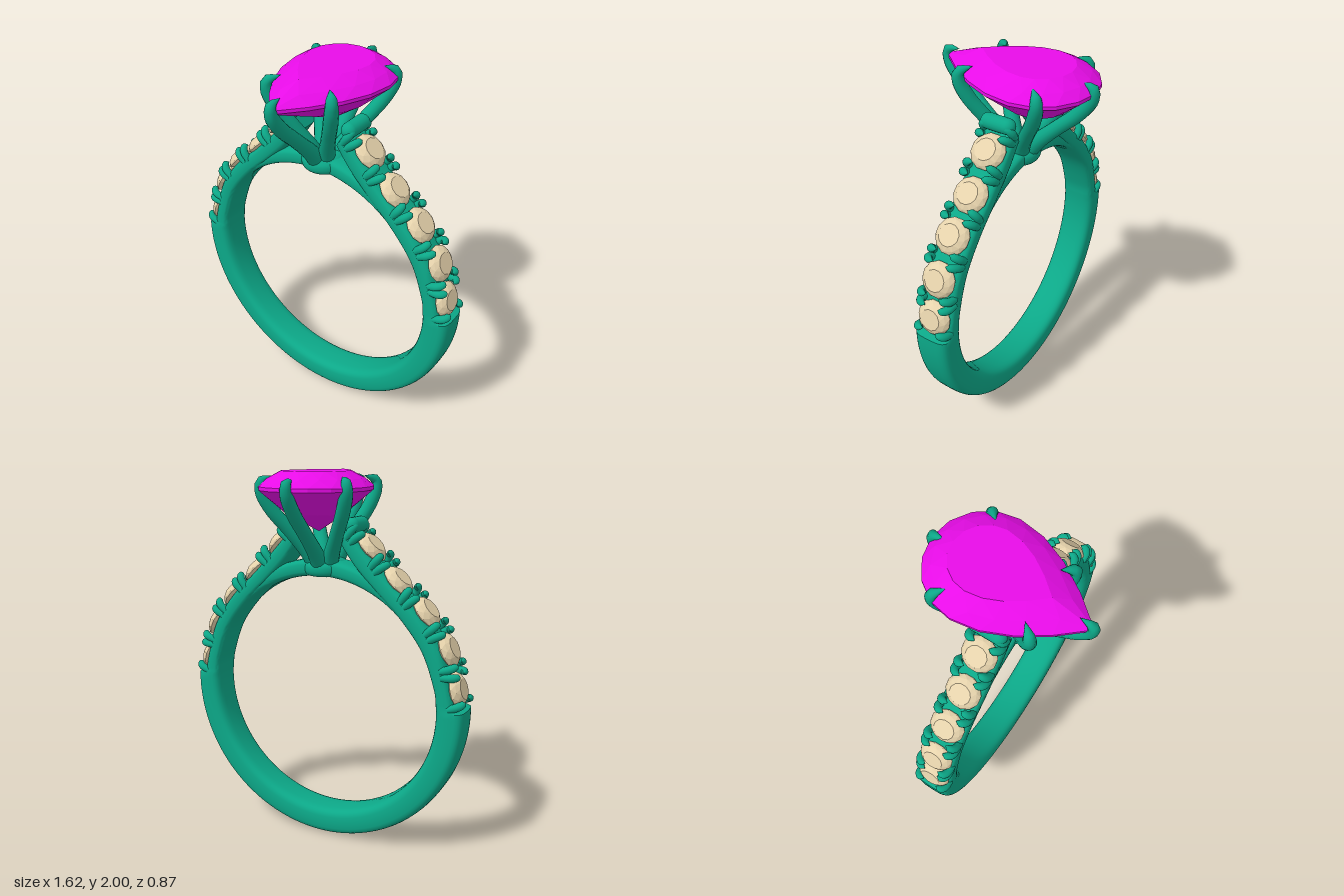
import * as THREE from 'three';
import { toCreasedNormals } from 'three/addons/utils/BufferGeometryUtils.js';
import { ConvexGeometry } from 'three/addons/geometries/ConvexGeometry.js';

const metal = new THREE.MeshStandardMaterial({ color: 0x0ca888 });
const magenta = new THREE.MeshStandardMaterial({ color: 0xe80ce8, flatShading: true });
const cream = new THREE.MeshStandardMaterial({ color: 0xe6d3ac, flatShading: true });

const CY = 0.81, R_IN = 0.655, R_OUT = 0.805, HALF = 0.098;
const V2 = (x, y) => new THREE.Vector2(x, y);
const V3 = (x, y, z) => new THREE.Vector3(x, y, z);

function add(parent, name, geometry, material) {
  const mesh = new THREE.Mesh(geometry, material);
  mesh.name = name;
  parent.add(mesh);
  return mesh;
}

// Rounded-rectangle section swept through stations { inner, outer, half }
function sweep(stations) {
  const N = 28, pos = [], idx = [];
  const soft = (v) => Math.sign(v) * Math.pow(Math.abs(v), 0.55);
  for (const { inner, outer, half } of stations) {
    for (let j = 0; j < N; j++) {
      const a = (j / N) * Math.PI * 2;
      const p = inner.clone().lerp(outer, 0.5 + 0.5 * soft(Math.cos(a)));
      pos.push(p.x, p.y, half * soft(Math.sin(a)));
    }
  }
  const last = stations.length - 1;
  for (let i = 0; i < last; i++) {
    for (let j = 0; j < N; j++) {
      const a = i * N + j, b = i * N + ((j + 1) % N);
      idx.push(a, a + N, b, b, a + N, b + N);
    }
  }
  for (const s of [0, last]) {
    const c = pos.length / 3, m = stations[s].inner.clone().lerp(stations[s].outer, 0.5);
    pos.push(m.x, m.y, 0);
    for (let j = 0; j < N; j++) {
      const a = s * N + j, b = s * N + ((j + 1) % N);
      if (s === 0) idx.push(c, a, b); else idx.push(c, b, a);
    }
  }
  const g = new THREE.BufferGeometry();
  g.setAttribute('position', new THREE.Float32BufferAttribute(pos, 3));
  g.setIndex(idx);
  return toCreasedNormals(g, 0.7);
}

// Faceted gem: rings [scale, y, stagger] of an outline, plus a culet point
function gem(outline, n, centreZ, rings, culet) {
  const pts = [culet];
  for (const [s, y, stagger] of rings) {
    for (let i = 0; i < n; i++) {
      const p = outline((i + stagger) / n);
      pts.push(V3(p.x * s, y, centreZ + (p.y - centreZ) * s));
    }
  }
  return new ConvexGeometry(pts);
}

// Tube whose radius follows a list of values along its length
function taperedTube(points, radii) {
  const curve = new THREE.CatmullRomCurve3(points), L = 28, S = 14;
  const g = new THREE.TubeGeometry(curve, L, 1, S);
  const p = g.attributes.position, v = V3(0, 0, 0);
  for (let i = 0; i <= L; i++) {
    const c = curve.getPointAt(i / L), f = (i / L) * (radii.length - 1);
    const k = Math.min(Math.floor(f), radii.length - 2);
    const r = THREE.MathUtils.lerp(radii[k], radii[k + 1], f - k);
    for (let j = 0; j <= S; j++) {
      const q = i * (S + 1) + j;
      v.fromBufferAttribute(p, q).sub(c).multiplyScalar(r).add(c);
      p.setXYZ(q, v.x, v.y, v.z);
    }
  }
  return g;
}

// Pear outline, x across and y along the depth; sharp end at the front
function pear(t) {
  const side = t < 0.5 ? 1 : -1, u = t < 0.5 ? t * 2 : (1 - t) * 2;
  if (u < 0.5) {
    const s = 1 - u / 0.5;
    return V2(side * 0.28 * Math.pow(Math.cos(s * Math.PI / 2), 0.93), -0.13 + 0.54 * s);
  }
  const a = (u - 0.5) * Math.PI;
  return V2(side * 0.28 * Math.cos(a), -0.13 - 0.28 * Math.sin(a));
}

// Shoulder curves: points 1 to 5 of the outer one carry the side stones
const outerCurve = new THREE.SplineCurve([[0.803, 0.86], [0.775, 0.955], [0.718, 1.16],
  [0.59, 1.345], [0.435, 1.49], [0.285, 1.65], [0.18, 1.75]].map((p) => V2(...p)));
const innerCurve = new THREE.SplineCurve([[0.653, 0.86], [0.64, 0.95], [0.57, 1.13],
  [0.455, 1.28], [0.32, 1.41], [0.2, 1.53], [0.12, 1.64]].map((p) => V2(...p)));

const arc = (r, a) => V2(r * Math.cos(a), CY + r * Math.sin(a));

function buildShank(parent) {
  const right = [];
  for (let i = 0; i <= 40; i++) {
    const a = -Math.PI / 2 + (i / 40) * (Math.PI / 2 + 0.045);
    right.push({ inner: arc(R_IN, a), outer: arc(R_OUT, a), half: HALF });
  }
  for (let i = 0; i <= 36; i++) {
    const inner = innerCurve.getPoint(i / 36);
    right.push({ inner, outer: outerCurve.getPoint(i / 36).lerp(inner, 0.32), half: HALF - 0.004 });
  }
  const flip = (p) => V2(-p.x, p.y);
  const left = right.slice(1).reverse()
    .map((s) => ({ inner: flip(s.inner), outer: flip(s.outer), half: s.half }));
  add(parent, 'shank', sweep([...left, ...right]), metal);

  // Bridge closing the finger hole under the setting
  const bridge = [];
  for (let i = 0; i <= 30; i++) {
    const k = (i / 30) * 2 - 1, a = Math.PI / 2 + k * 0.85;
    bridge.push({ inner: arc(R_IN, a), outer: arc(R_IN + 0.09 - 0.03 * k * k, a), half: 0.085 });
  }
  add(parent, 'bridge', sweep(bridge), metal);
}

function buildShoulder() {
  const shoulder = new THREE.Group();
  const circle = (t) => V2(0.092 * Math.cos(t * 2 * Math.PI), 0.092 * Math.sin(t * 2 * Math.PI));
  const stone = gem(circle, 12, 0, [[0.6, 0.004, 0.5], [0.86, -0.012, 0], [1, -0.03, 0.5], [1, -0.038, 0.5]],
    V3(0, -0.1, 0));
  // Local frame: y leaves the band, x runs down the shoulder
  const place = (obj, u) => {
    const p = outerCurve.getPoint(u), t = outerCurve.getTangent(u);
    obj.position.set(p.x, p.y, 0);
    obj.rotation.z = Math.atan2(-t.y, -t.x);
    shoulder.add(obj);
  };
  for (let i = 1; i <= 5; i++) {
    const mesh = new THREE.Mesh(stone, cream);
    mesh.name = 'sideStone';
    place(mesh, i / 6);
  }
  // Small claws, in pairs between neighbouring stones
  for (const i of [0.12, 1.5, 2.5, 3.5, 4.5, 5.55]) {
    const claws = new THREE.Group();
    claws.name = 'sideClaws';
    for (const side of [-1, 1]) {
      for (const d of i < 1 ? [-1] : [-1, 1]) {
        add(claws, 'claw', taperedTube(
          [V3(d * 0.016, -0.075, side * 0.08), V3(d * 0.022, -0.025, side * 0.08),
            V3(d * 0.026, -0.004, side * 0.066), V3(d * 0.03, 0, side * 0.036)],
          [0.018, 0.02, 0.021, 0.021, 0.018, 0]), metal);
      }
    }
    place(claws, i / 6);
  }
  // Rounded end of the shoulder
  const end = add(shoulder, 'shoulderEnd', new THREE.CapsuleGeometry(0.04, 0.106, 8, 18), metal);
  end.rotation.x = Math.PI / 2;
  end.position.set(0.175, 1.735, 0);
  return shoulder;
}

function buildSetting(parent) {
  // Collar at the root of the prongs
  const profile = [[0, 1.465], [0.09, 1.467], [0.113, 1.48], [0.12, 1.505], [0.113, 1.532], [0.08, 1.56], [0, 1.57]];
  add(parent, 'collar', new THREE.LatheGeometry(
    new THREE.SplineCurve(profile.map((p) => V2(...p))).getPoints(24).map((p) => V2(Math.max(p.x, 0), p.y)), 36), metal);

  // Prongs rising from the collar and hooking over the girdle
  const steps = [[0.14, 1.51], [0.29, 1.59], [0.56, 1.7], [0.84, 1.81], [0.99, 1.9], [0.99, 1.945]];
  for (const [x, z, top] of [[0, 0.405, 1.96], [0, -0.405, 1.96], [0.238, -0.25, 1.975],
    [-0.238, -0.25, 1.975], [0.186, 0.207, 1.97], [-0.186, 0.207, 1.97]]) {
    const reach = 1 - 0.07 / Math.hypot(x, z);
    const pts = steps.map(([k, y]) => V3(x * k, y, z * k));
    pts.push(V3(x * reach, top, z * reach));
    add(parent, 'prong', taperedTube(pts, [0.045, 0.044, 0.04, 0.037, 0.036, 0.036, 0.036, 0.034, 0.026, 0]), metal);
  }

  add(parent, 'centreStone', gem(pear, 16, -0.115,
    [[0.6, 2, 0], [0.84, 1.963, 0.5], [1, 1.925, 0], [1, 1.908, 0], [0.52, 1.793, 0.5]],
    V3(0, 1.7, -0.08)), magenta);
}

export function createModel() {
  const model = new THREE.Group();
  model.name = 'ring';
  const band = new THREE.Group();
  band.name = 'band';
  band.position.z = -0.006;
  buildShank(band);
  ['leftShoulder', 'rightShoulder'].forEach((name, i) => {
    const shoulder = buildShoulder();
    shoulder.name = name;
    shoulder.rotation.y = i * Math.PI;
    band.add(shoulder);
  });
  model.add(band);
  const setting = new THREE.Group();
  setting.name = 'setting';
  buildSetting(setting);
  model.add(setting);
  return model;
}
